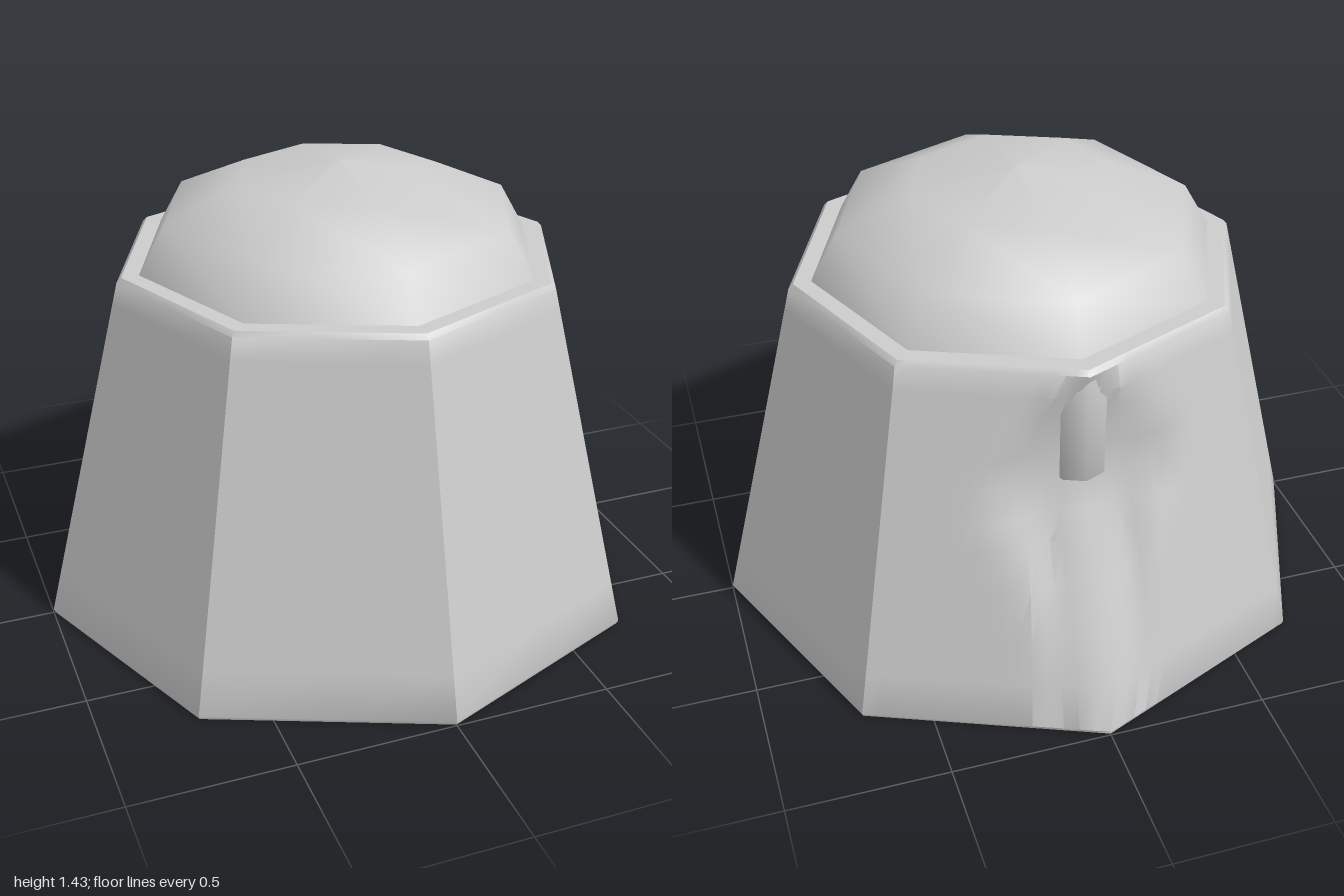
import * as THREE from 'three';
import { toCreasedNormals } from 'three/addons/utils/BufferGeometryUtils.js';

const material = new THREE.MeshStandardMaterial({ color: 0xcccccc });
const points = (list) => list.map(([x, y]) => new THREE.Vector2(x, y));

// Linear interpolation through [y, value] pairs
function along(list, y) {
  for (let i = 1; i < list.length; i++) {
    const [y0, v0] = list[i - 1], [y1, v1] = list[i];
    if (y <= y1) return v0 + (v1 - v0) * (y - y0) / (y1 - y0);
  }
  return list[list.length - 1][1];
}

// Unit octagon with corners on the axes; the two rear sides are divided finely
function octagonOutline() {
  const outline = [];
  for (let side = 0; side < 8; side++) {
    const a = side * Math.PI / 4, b = a + Math.PI / 4;
    const steps = side === 3 || side === 4 ? 16 : 2;
    for (let s = 0; s < steps; s++) {
      const t = s / steps;
      outline.push([
        Math.sin(a) * (1 - t) + Math.sin(b) * t,
        Math.cos(a) * (1 - t) + Math.cos(b) * t,
      ]);
    }
  }
  return outline;
}

// Tapered octagonal wall with a flat base, a rim ledge and a dent pressed into the rear corner
function bodyGeometry() {
  const profile = [[0, 0], [0.995, 0], [1, 0.012]];
  for (const y of [0.15, 0.3, 0.45, 0.57, 0.66, 0.76, 0.86, 0.98, 1.06]) {
    profile.push([1 - 0.28 * (y - 0.012) / 1.118, y]);
  }
  profile.push([0.72, 1.13], [0.705, 1.145], [0.6, 1.145]);

  const dent = [[0, 1], [0.57, 0.755], [0.76, 0.672], [0.98, 0.672], [1.13, 0.72], [1.2, 0.72]];
  const grooves = [[0, 0], [0.15, 0.015], [0.57, 0.03], [0.76, 0], [1.2, 0]];
  const outline = octagonOutline();
  const n = outline.length;
  const position = [], index = [];
  profile.forEach(([r, y], row) => {
    outline.forEach(([ox, oz]) => {
      const x = ox * r;
      let z = oz * r;
      const limit = -along(dent, y);
      if (z < limit) z = limit;
      // shallow grooves on both sides of the rear spine
      if (oz < -0.7) z += along(grooves, y) * Math.exp(-(((Math.abs(x) - 0.12) / 0.05) ** 2));
      position.push(x, y, z);
    });
    if (row === 0) return;
    for (let i = 0; i < n; i++) {
      const j = (i + 1) % n;
      const a = (row - 1) * n + i, b = (row - 1) * n + j, c = row * n + j, d = row * n + i;
      if (row > 1) index.push(a, b, c);
      index.push(a, c, d);
    }
  });
  const geometry = new THREE.BufferGeometry();
  geometry.setAttribute('position', new THREE.Float32BufferAttribute(position, 3));
  geometry.setIndex(index);
  return toCreasedNormals(geometry, 0.6);
}

export function createModel() {
  const group = new THREE.Group();
  const add = (name, geometry) => {
    const mesh = new THREE.Mesh(geometry, material);
    mesh.name = name;
    group.add(mesh);
    return mesh;
  };

  add('body', bodyGeometry());

  // Low eight-sided dome standing on the ledge
  add('dome', new THREE.LatheGeometry(
    points([[0.65, 1.143], [0.565, 1.29], [0.33, 1.395], [0, 1.435]]), 8));

  // Short post hanging under the rim, above the dent
  const post = add('rearPost', new THREE.LatheGeometry(
    points([[0, 0.76], [0.09, 0.76], [0.09, 1.135], [0, 1.135]]), 8));
  post.position.z = -0.623;

  return group;
}
